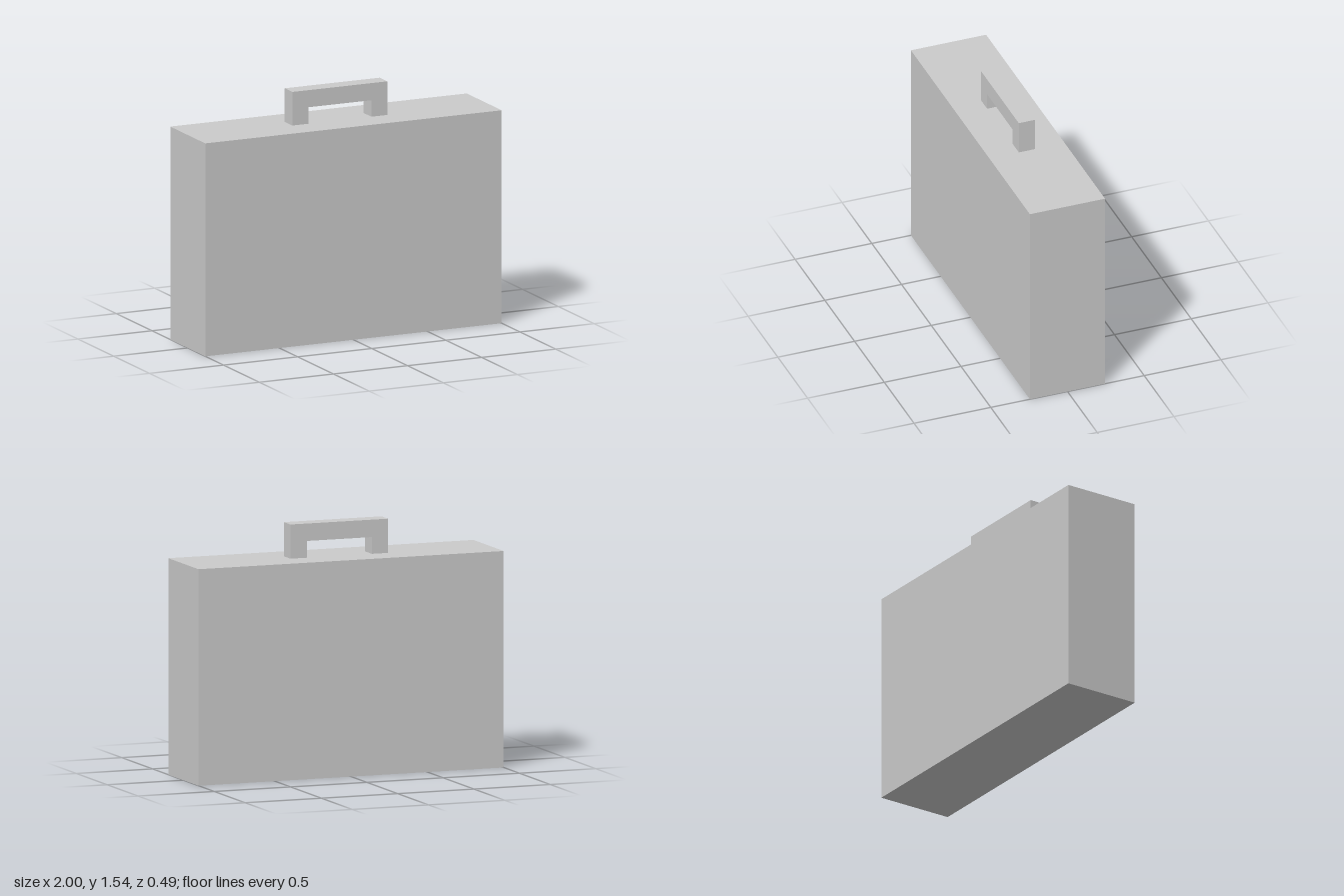
import * as THREE from 'three';

export function createModel() {
  const model = new THREE.Group();
  model.name = 'briefcase';
  const material = new THREE.MeshStandardMaterial({ color: 0xcccccc, flatShading: true });

  const bodyHeight = 1.33;
  const handleHeight = 0.21, handleHalf = 0.32, bar = 0.107, handleDepth = 0.107;

  // Case body
  const body = new THREE.Mesh(new THREE.BoxGeometry(2, bodyHeight, 0.49), material);
  body.name = 'body';
  body.position.y = bodyHeight / 2;
  model.add(body);

  // Carrying handle: a square-cornered arch standing on the lid
  const inner = handleHalf - bar;
  const arch = new THREE.Shape([
    [-handleHalf, 0], [-inner, 0], [-inner, handleHeight - bar], [inner, handleHeight - bar],
    [inner, 0], [handleHalf, 0], [handleHalf, handleHeight], [-handleHalf, handleHeight],
  ].map(([x, y]) => new THREE.Vector2(x, y)));
  const handle = new THREE.Mesh(
    new THREE.ExtrudeGeometry(arch, { depth: handleDepth, bevelEnabled: false }), material);
  handle.name = 'handle';
  handle.position.set(0, bodyHeight, -handleDepth / 2);
  model.add(handle);

  return model;
}
